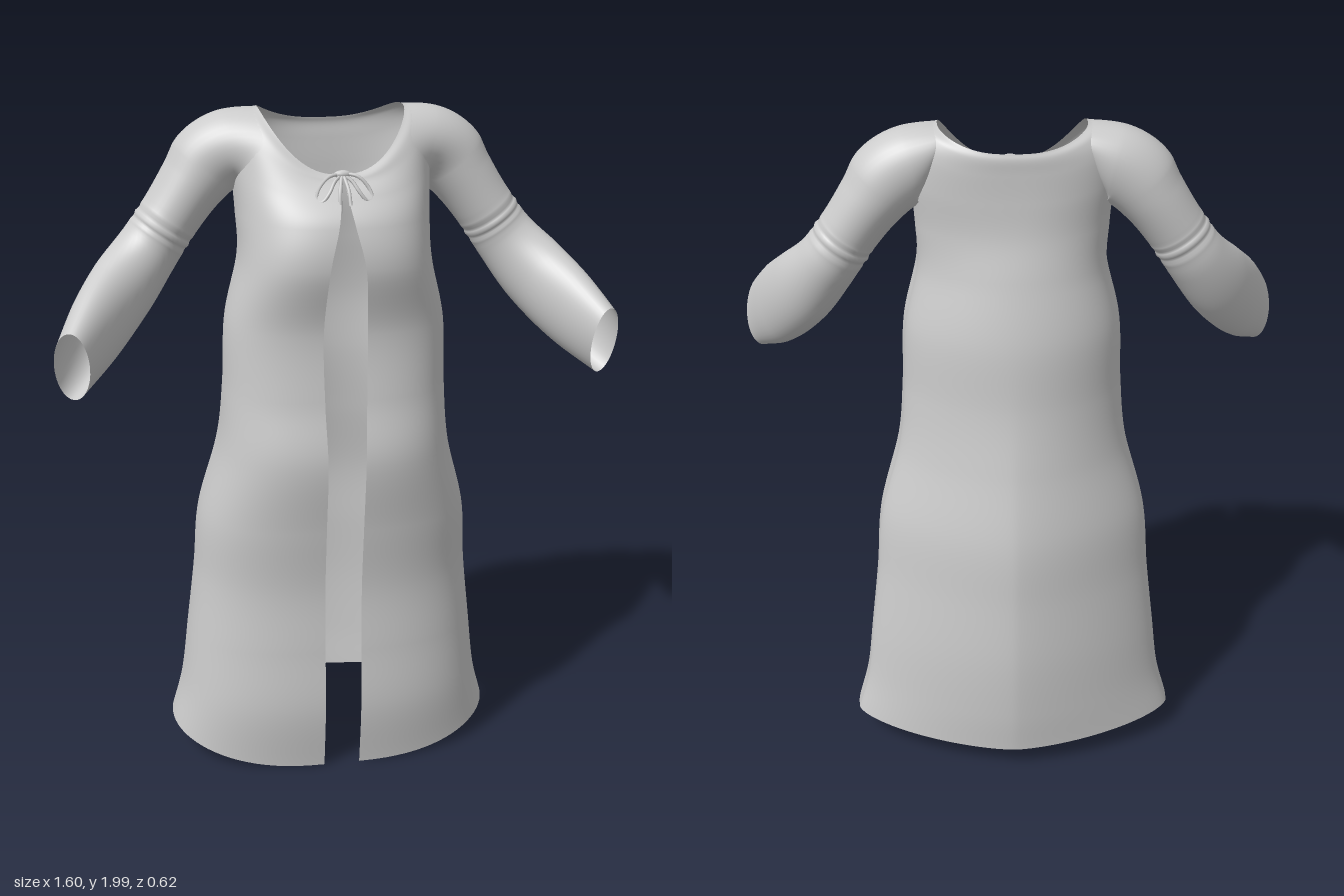
import * as THREE from 'three';
import { ParametricGeometry } from 'three/addons/geometries/ParametricGeometry.js';

const { lerp, clamp, smoothstep } = THREE.MathUtils;
const cloth = new THREE.MeshStandardMaterial({ color: 0xcccccc, side: THREE.DoubleSide });

// Smoothly interpolates a list of equal-length rows; t runs from 0 to 1.
function smoothRows(rows) {
  const curve = new THREE.CubicInterpolant(rows.map((_, i) => i), rows.flat(), rows[0].length);
  return t => Array.from(curve.evaluate(clamp(t, 0, 1) * (rows.length - 1)));
}

const power = (v, e) => Math.sign(v) * Math.abs(v) ** e;

function addMesh(parent, name, geometry) {
  const mesh = new THREE.Mesh(geometry, cloth);
  mesh.name = name;
  parent.add(mesh);
  return mesh;
}

// Robe sections, hem to neckline:
// y front, y side, y back, half gap, half width, z front, z side, z back
const bodyAt = smoothRows([
  [0, 0.09, 0.07, 0.055, 0.5, 0.22, -0.08, -0.295],
  [0.2, 0.22, 0.21, 0.055, 0.465, 0.247, -0.08, -0.308],
  [0.4, 0.4, 0.4, 0.055, 0.442, 0.243, -0.075, -0.314],
  [0.6, 0.6, 0.6, 0.055, 0.418, 0.24, -0.065, -0.305],
  [0.8, 0.8, 0.8, 0.055, 0.4, 0.265, -0.05, -0.293],
  [1.02, 1.02, 1.02, 0.055, 0.34, 0.295, -0.03, -0.25],
  [1.2, 1.2, 1.2, 0.06, 0.32, 0.27, -0.01, -0.22],
  [1.4, 1.4, 1.4, 0.062, 0.31, 0.26, 0, -0.205],
  [1.58, 1.58, 1.58, 0.05, 0.27, 0.3, 0, -0.17],
  [1.7, 1.71, 1.7, 0.023, 0.273, 0.285, 0, -0.145],
  [1.77, 1.84, 1.8, 0.01, 0.28, 0.24, -0.01, -0.139],
  [1.805, 1.94, 1.88, 0.007, 0.27, 0.21, -0.01, -0.139],
  [1.82, 1.983, 1.92, 0.007, 0.24, 0.2, -0.005, -0.14],
  [1.83, 1.992, 1.94, 0.007, 0.205, 0.19, 0, -0.135],
]);

// The section runs from one front edge round the back to the other.
function bodyPoint(u, v, target) {
  const [yF, yS, yB, gap, w, zF, zS, zB] = bodyAt(v);
  const a = u * Math.PI * 2, s = Math.sin(a), c = Math.cos(a);
  const side = u <= 0.5 ? 1 : -1;
  const yEnd = c > 0 ? yF : yB, depth = c > 0 ? zF - zS : zS - zB;
  // The back is peaked at the skirt and broad across the shoulder blades
  const backBend = lerp(lerp(1.32, 1.02, smoothstep(v, 0.25, 0.6)), 0.76, smoothstep(v, 0.6, 0.85));
  const bend = c > 0 ? 0.87 : backBend;
  target.set(
    power(s, bend) * w + side * gap * Math.max(0, c),
    yEnd + (yS - yEnd) * s * s,
    zS + power(c, bend) * depth
  );
}

// Sleeve sections, shoulder to cuff: centre x, y, z, upright radius, sideways radius
const sleeveAt = smoothRows([
  [0.265, 1.894, -0.015, 0.108, 0.115],
  [0.325, 1.864, -0.017, 0.115, 0.106],
  [0.39, 1.785, -0.016, 0.095, 0.1],
  [0.455, 1.695, -0.01, 0.087, 0.093],
  [0.525, 1.597, 0, 0.092, 0.088],
  [0.605, 1.5, 0.055, 0.113, 0.083],
  [0.68, 1.418, 0.148, 0.121, 0.073],
  [0.752, 1.345, 0.265, 0.108, 0.056],
]);
const cuffUp = new THREE.Vector3(0, 0.95, 0.3);

function sleevePoint(side) {
  const T = new THREE.Vector3(), U = new THREE.Vector3(), S = new THREE.Vector3();
  const armhole = new THREE.Vector3();
  return (u, v, target) => {
    const [x, y, z, ru, rs] = sleeveAt(v);
    T.fromArray(sleeveAt(v + 0.02)).sub(U.fromArray(sleeveAt(v - 0.02))).normalize();
    U.set(0, 1, 0).addScaledVector(T, -T.y).normalize();
    S.crossVectors(T, U);
    U.lerp(cuffUp, v ** 6);
    const a = u * Math.PI * 2 * side, c = Math.cos(a), s = Math.sin(a);
    // Gathered creases above the elbow
    const gather = 1 + 0.03 * Math.exp(-(((v - 0.48) / 0.03) ** 2)) * Math.cos((v - 0.48) * 170);
    target.set(x, y, z).addScaledVector(U, c * ru * gather).addScaledVector(S, s * rs * gather);
    // The shoulder end grows out of an armhole loop lying on the body
    bodyPoint(0.25 - 0.115 * s, 0.855 + 0.125 * c, armhole);
    target.lerp(armhole, 1 - smoothstep(v, -0.12, 0.22) ** 1.2 * smoothstep(v, 0, 0.1));
    target.x *= side;
  };
}

// Thin cord along a few points
function cord(points, side) {
  const path = points.map(([x, y, z]) => new THREE.Vector3(x * side, y, z));
  return new THREE.TubeGeometry(new THREE.CatmullRomCurve3(path), 28, 0.005, 6);
}

export function createModel() {
  const model = new THREE.Group();
  model.name = 'openRobe';

  addMesh(model, 'robeBody', new ParametricGeometry(bodyPoint, 96, 110));

  const bow = new THREE.Group();
  bow.name = 'neckBow';
  model.add(bow);
  const knot = addMesh(bow, 'bowKnot', new THREE.SphereGeometry(0.011, 12, 8));
  knot.position.set(0, 1.832, 0.2);
  knot.scale.x = 2.2;

  for (const [label, side] of [['left', 1], ['right', -1]]) {
    addMesh(model, label + 'Sleeve', new ParametricGeometry(sleevePoint(side), 40, 100));
    // Drooping loop and a hanging tail on each side of the knot
    addMesh(bow, label + 'BowLoop', cord([
      [0.008, 1.834, 0.2], [0.042, 1.826, 0.212], [0.07, 1.795, 0.222], [0.076, 1.77, 0.232],
      [0.062, 1.765, 0.238], [0.042, 1.787, 0.234], [0.024, 1.815, 0.216], [0.006, 1.828, 0.203],
    ], side));
    addMesh(bow, label + 'BowTail', cord([
      [0.003, 1.828, 0.205], [0.012, 1.79, 0.235], [0.014, 1.745 + side * 0.01, 0.25],
    ], side));
  }
  return model;
}
